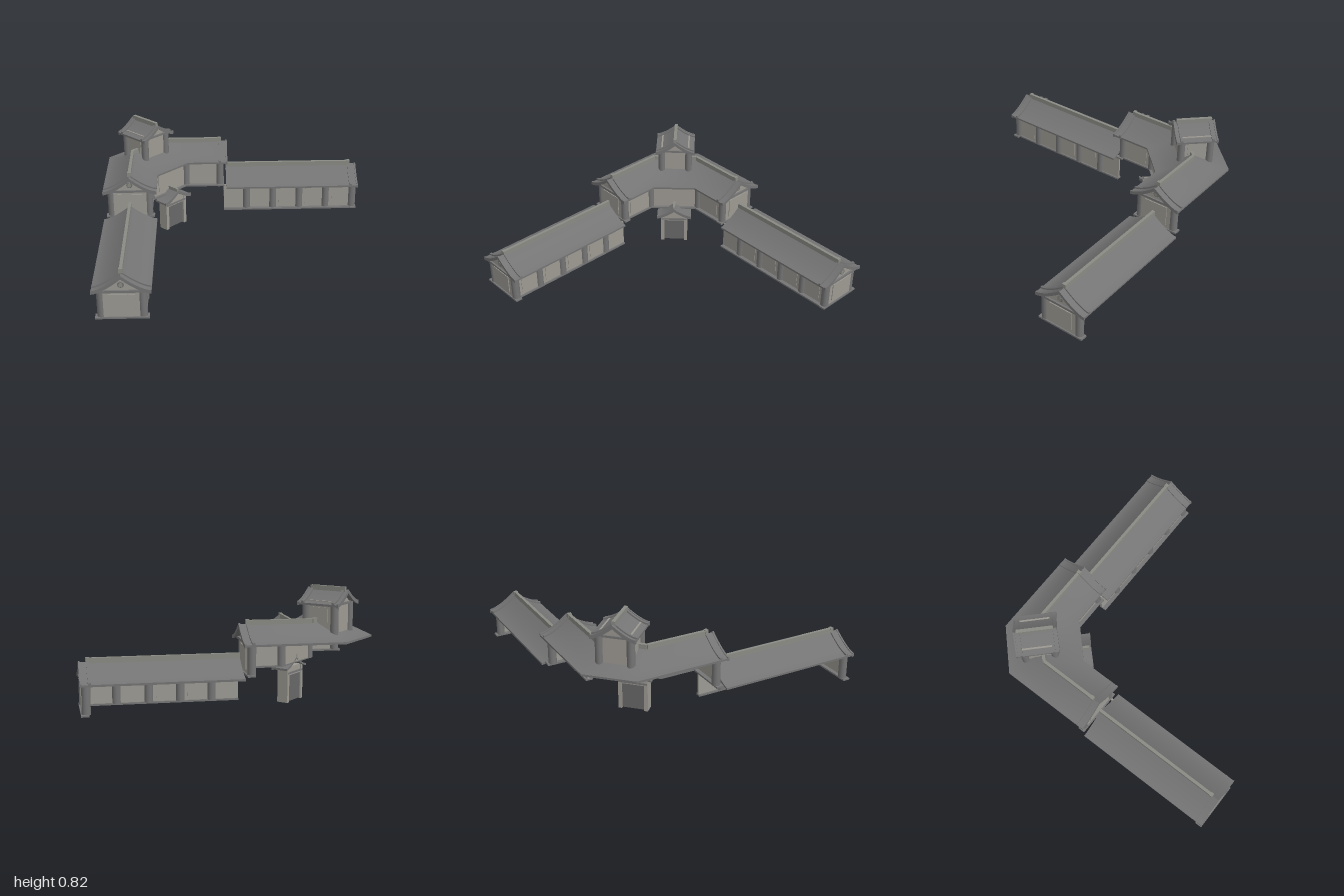
import * as THREE from 'three';
import { toCreasedNormals } from 'three/addons/utils/BufferGeometryUtils.js';

const mat = (name, color, side = THREE.FrontSide) => {
  const m = new THREE.MeshStandardMaterial({ color, side });
  m.name = name;
  return m;
};

export function createModel() {
  const roofMat = mat('roof grey', 0x747474, THREE.DoubleSide);
  const wallMat = mat('wall plaster', 0x9d9a93);
  const postMat = mat('column grey', 0x757575);
  const ridgeMat = mat('ridge grey', 0x8a8b84);
  const doorMat = mat('door grey', 0x676767);

  const add = (parent, name, geo, m, x = 0, y = 0, z = 0) => {
    const mesh = new THREE.Mesh(geo, m);
    mesh.name = name;
    mesh.position.set(x, y, z);
    parent.add(mesh);
    return mesh;
  };
  // Box given by its limits
  const box = (parent, name, m, x0, x1, y0, y1, z0, z1) =>
    add(parent, name, new THREE.BoxGeometry(x1 - x0, y1 - y0, z1 - z0), m,
      (x0 + x1) / 2, (y0 + y1) / 2, (z0 + z1) / 2);
  const column = (parent, x, z, y0, y1, r = 0.029) =>
    add(parent, 'column', new THREE.CylinderGeometry(r, r, y1 - y0, 16), postMat, x, (y0 + y1) / 2, z);

  // Concave roof curve: t runs from eave (-1) over the ridge (0) to eave (1)
  const curve = (t, eave, apex) => eave + (apex - eave) * Math.pow(1 - Math.abs(t), 1.5);
  const N = 16;

  // Curved roof shell swept through stations [ax, az, bx, bz] (the two eave points)
  const roofGeo = (stations, eave, apex, thick = 0.014, lift = 0) => {
    const pos = [], idx = [], ring = 2 * N + 2;
    for (const [ax, az, bx, bz] of stations) {
      for (let k = 0; k < ring; k++) {
        const top = k <= N, i = top ? k : ring - 1 - k, f = i / N;
        pos.push(ax + (bx - ax) * f, curve(2 * f - 1, eave, apex) + (top ? lift : -thick), az + (bz - az) * f);
      }
    }
    for (let s = 0; s < stations.length - 1; s++) {
      for (let k = 0; k < ring; k++) {
        const a = s * ring + k, b = s * ring + (k + 1) % ring;
        idx.push(a, b, a + ring, b, b + ring, a + ring);
      }
    }
    const e = (stations.length - 1) * ring;
    for (let j = 0; j < N; j++) {
      const b0 = ring - 1 - j, b1 = b0 - 1;
      idx.push(b0, b1, j + 1, b0, j + 1, j);
      idx.push(e + b0, e + j + 1, e + b1, e + b0, e + j, e + j + 1);
    }
    const g = new THREE.BufferGeometry();
    g.setAttribute('position', new THREE.Float32BufferAttribute(pos, 3));
    g.setIndex(idx);
    return toCreasedNormals(g, 0.5);
  };
  // Straight roof piece along x or z
  const alongX = (x0, x1, h) => [[x0, -h, x1, h], [x1, -h, x1, h]].map((s, i) => [i ? x1 : x0, -h, i ? x1 : x0, h]);
  const alongZ = (z0, z1, h) => [[h, z0, -h, z0], [h, z1, -h, z1]].map(([a, z, b]) => [a, z, b, z]);

  // Wall with a curved gable top, lying in the xy plane
  const gableGeo = (w, base, half, eave, apex) => {
    const s = new THREE.Shape();
    s.moveTo(-w, base);
    s.lineTo(w, base);
    for (let i = 0; i <= 12; i++) {
      const x = w - (2 * w * i) / 12;
      s.lineTo(x, curve(x / half, eave, apex) - 0.012);
    }
    return new THREE.ExtrudeGeometry(s, { depth: 0.012, bevelEnabled: false });
  };

  // One gable end of a wing, facing local +x
  const gableEnd = (g, x, y0, eave, apex) => {
    add(g, 'gableWall', gableGeo(0.148, y0, 0.2, eave, apex), wallMat, x, 0, 0).rotation.y = Math.PI / 2;
    box(g, 'endPanel', wallMat, x + 0.012, x + 0.018, y0 + 0.03, eave - 0.03, -0.09, 0.09);
    box(g, 'endBeam', postMat, x, x + 0.025, eave - 0.012, eave + 0.004, -0.165, 0.165);
    add(g, 'gableRoundel', new THREE.TorusGeometry(0.018, 0.005, 8, 20), postMat, x + 0.015, eave + 0.045, 0).rotation.y = Math.PI / 2;
    add(g, 'gableBoss', new THREE.CylinderGeometry(0.014, 0.014, 0.012, 16), ridgeMat, x + 0.014, eave + 0.045, 0).rotation.z = Math.PI / 2;
    for (const s of [-1, 1]) column(g, x - 0.012, s * 0.138, y0, eave);
    box(g, 'endSill', postMat, x - 0.03, x + 0.022, y0 - 0.008, y0 + 0.004, -0.18, 0.18);
  };

  // A run of front wall with posts and raised panels between them
  const frontWall = (g, side, x0, x1, y0, y1, posts) => {
    const z = side * 0.14;
    box(g, 'frontWall', wallMat, x0, x1, y0, y1, z - 0.007, z + 0.007);
    box(g, 'frontSill', postMat, x0, x1, y0 - 0.008, y0 + 0.004, z - 0.02, z + 0.036 * (side > 0 ? 1 : 0.6));
    posts.forEach((x, i) => {
      column(g, x, side * 0.138, y0, y1);
      if (i) box(g, 'wallPanel', wallMat, posts[i - 1] + 0.05, x - 0.05, y0 + 0.03, y1 - 0.03, z - 0.011, z + 0.011);
    });
  };

  // Wing: long low hall plus the end of the upper storey
  const wing = (side) => {
    const g = new THREE.Group();
    g.name = 'wing';
    frontWall(g, side, -0.09, 0.965, 0.065, 0.27, [0.094, 0.307, 0.52, 0.735, 0.953]);
    gableEnd(g, 0.962, 0.065, 0.268, 0.375);
    frontWall(g, side, -0.39, -0.1, 0.28, 0.49, [-0.39, -0.12]);
    gableEnd(g, -0.108, 0.28, 0.488, 0.595);
    // Low roof with ridge, cross rib and gable board
    add(g, 'lowRoof', roofGeo(alongX(-0.07, 0.985, 0.198), 0.268, 0.378), roofMat);
    box(g, 'lowRidge', ridgeMat, -0.07, 0.93, 0.36, 0.405, -0.011, 0.011);
    for (const [x, eave, apex] of [[0.93, 0.268, 0.378], [-0.12, 0.488, 0.595]]) {
      add(g, 'roofRib', roofGeo(alongX(x - 0.009, x + 0.009, 0.197), eave, apex, 0, 0.012), roofMat);
      box(g, 'ridgeFinial', ridgeMat, x - 0.012, x + 0.012, apex, apex + 0.03, -0.014, 0.014);
      add(g, 'gableBoard', roofGeo(alongX(x + 0.048, x + 0.06, 0.199), eave, apex, 0.02, 0.006), roofMat);
    }
    box(g, 'upperRidge', ridgeMat, -0.56, -0.12, 0.58, 0.62, -0.011, 0.011);
    return g;
  };

  const model = new THREE.Group();
  model.name = 'courtyardHall';
  const wingX = wing(1);
  wingX.position.z = -0.8;
  const wingZ = wing(-1);
  wingZ.position.x = -0.8;
  wingZ.rotation.y = -Math.PI / 2;
  model.add(wingX, wingZ);

  // Upper roof bends around the chamfered corner
  add(model, 'upperRoof', roofGeo([
    [-1, -0.065, -0.602, -0.065], [-1, -0.74, -0.602, -0.375],
    [-0.74, -1, -0.375, -0.602], [-0.065, -1, -0.065, -0.602],
  ], 0.488, 0.595), roofMat);

  // Corner block, turned to face the courtyard
  const corner = new THREE.Group();
  corner.name = 'corner';
  corner.position.set(-0.7, 0, -0.7);
  corner.rotation.y = Math.PI / 4;
  model.add(corner);
  box(corner, 'cornerWall', wallMat, -0.19, 0.19, 0.28, 0.49, 0.235, 0.249);
  box(corner, 'cornerPanel', wallMat, -0.11, 0.11, 0.31, 0.46, 0.247, 0.254);
  box(corner, 'cornerSill', postMat, -0.19, 0.19, 0.272, 0.284, 0.235, 0.27);
  box(corner, 'cornerRidge', ridgeMat, -0.17, 0.17, 0.58, 0.62, 0.017, 0.039);

  // Tower
  const tower = new THREE.Group();
  tower.name = 'tower';
  corner.add(tower);
  for (const s of [-1, 1]) {
    box(tower, 'towerSideWall', wallMat, s * 0.106 - 0.006, s * 0.106 + 0.006, 0.5, 0.735, -0.11, 0.11);
    box(tower, 'towerSidePanel', wallMat, s * 0.108 - 0.008, s * 0.108 + 0.008, 0.57, 0.69, -0.06, 0.06);
    add(tower, 'towerGableWall', gableGeo(0.106, 0.5, 0.152, 0.718, 0.8), wallMat, 0, 0, s * 0.106 - 0.006);
    box(tower, 'towerBeam', postMat, -0.12, 0.12, 0.705, 0.72, s * 0.112 - 0.012, s * 0.112 + 0.012);
    for (const z of [-0.106, 0.106]) column(tower, s * 0.106, z, 0.5, 0.72, 0.027);
    add(tower, 'towerRib', roofGeo(alongZ(s * 0.115 - 0.009, s * 0.115 + 0.009, 0.151), 0.718, 0.802, 0, 0.012), roofMat);
    add(tower, 'towerGableBoard', roofGeo(alongZ(s * 0.147 - 0.006, s * 0.147 + 0.006, 0.153), 0.718, 0.802, 0.02, 0.006), roofMat);
  }
  add(tower, 'towerRoof', roofGeo(alongZ(-0.15, 0.15, 0.152), 0.718, 0.802), roofMat);
  box(tower, 'towerRidge', ridgeMat, -0.012, 0.012, 0.785, 0.825, -0.13, 0.13);

  // Entrance gate
  const gate = new THREE.Group();
  gate.name = 'gate';
  gate.position.z = 0.285;
  corner.add(gate);
  for (const s of [-1, 1])
    box(gate, 'gateJamb', wallMat, s * 0.093 - 0.013, s * 0.093 + 0.013, 0, 0.25, -0.04, 0.04);
  box(gate, 'gateLintel', wallMat, -0.08, 0.08, 0.19, 0.25, -0.035, 0.035);
  box(gate, 'gateBeam', postMat, -0.1, 0.1, 0.2, 0.213, -0.042, 0.042);
  box(gate, 'gateDoor', doorMat, -0.08, 0.08, 0.005, 0.19, -0.03, 0.025);
  add(gate, 'gateGable', gableGeo(0.1, 0.24, 0.135, 0.246, 0.31), wallMat, 0, 0, 0.028);
  add(gate, 'gateRoof', roofGeo(alongZ(-0.05, 0.068, 0.135), 0.246, 0.312), roofMat);
  add(gate, 'gateGableBoard', roofGeo(alongZ(0.058, 0.07, 0.137), 0.246, 0.312, 0.018, 0.006), roofMat);
  box(gate, 'gateRidge', ridgeMat, -0.009, 0.009, 0.3, 0.332, -0.05, 0.06);

  return model;
}
